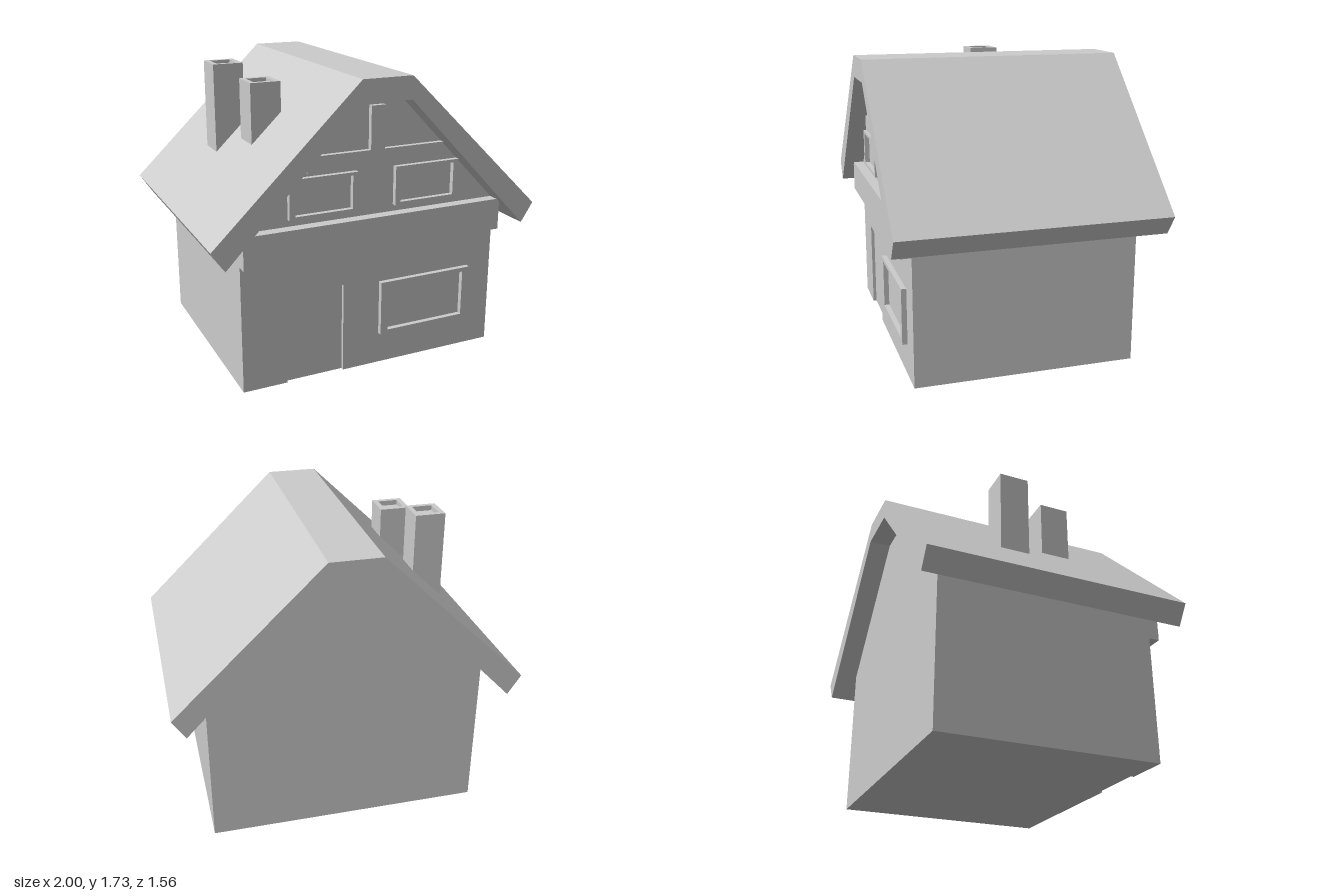
import * as THREE from 'three';

const mat = new THREE.MeshStandardMaterial({ color: 0xcccccc, flatShading: true });
const WALL_Z = 0.65;

const polygon = (pts) => pts.map(([x, y]) => new THREE.Vector2(x, y));
const rect = (x0, y0, x1, y1) => polygon([[x0, y0], [x1, y0], [x1, y1], [x0, y1]]);

// Extrude an outline (with optional holes) from z0 to z1
function slab(name, outline, z0, z1, holes = []) {
  const shape = new THREE.Shape(outline);
  holes.forEach((h) => shape.holes.push(new THREE.Path(h)));
  const geo = new THREE.ExtrudeGeometry(shape, { depth: z1 - z0, bevelEnabled: false });
  geo.translate(0, 0, z0);
  const mesh = new THREE.Mesh(geo, mat);
  mesh.name = name;
  return mesh;
}

// Window frame standing proud of the wall, which serves as the pane
function windowFrame(name, x0, y0, x1, y1, side, bottom) {
  return slab(name, rect(x0, y0, x1, y1), WALL_Z - 0.01, 0.68,
    [rect(x0 + side, y0 + bottom, x1 - side, y1 - bottom)]);
}

// Square chimney with a shallow flue
function chimney(name, x, z, bottom, top) {
  const group = new THREE.Group();
  group.name = name;
  const flue = 0.03, w = 0.09, h = 0.06;
  const height = top - flue - bottom;
  const stack = new THREE.Mesh(new THREE.BoxGeometry(2 * w, height, 2 * w), mat);
  stack.name = 'chimneyStack';
  stack.position.y = bottom + height / 2;
  const rim = slab('chimneyRim', rect(-w, -w, w, w), 0, flue, [rect(-h, -h, h, h)]);
  rim.rotation.x = -Math.PI / 2;
  rim.position.y = top - flue;
  group.add(stack, rim);
  group.position.set(x, 0, z);
  return group;
}

export function createModel() {
  const house = new THREE.Group();
  house.name = 'house';

  // Gabled walls, with a thin front layer leaving the door recessed
  const gable = [[0.805, 0], [0.805, 0.92], [0.15, 1.6], [-0.15, 1.6], [-0.805, 0.92], [-0.805, 0]];
  const doorway = [[-0.54, 0], [-0.54, 0.54], [-0.19, 0.54], [-0.19, 0]];
  house.add(slab('walls', polygon(gable), -WALL_Z, 0.63));
  house.add(slab('frontWall', polygon([...gable, ...doorway]), 0.63, WALL_Z));

  // Roof with a flat ridge and overhanging eaves
  house.add(slab('roof', polygon([
    [1, 0.91], [0.15, 1.73], [-0.15, 1.73], [-1, 0.91],
    [-0.925, 0.795], [-0.15, 1.6], [0.15, 1.6], [0.925, 0.795],
  ]), -0.78, 0.78));

  // Ledge across the front
  house.add(slab('frontLedge', rect(-0.805, 0.75, 0.805, 0.94), WALL_Z - 0.01, 0.715));

  // Gable timber: crossbeam and king post
  house.add(slab('gableTimber', polygon([
    [-0.42, 1.23], [0.42, 1.23], [0.42, 1.32], [0.043, 1.32],
    [0.043, 1.565], [-0.043, 1.565], [-0.043, 1.32], [-0.42, 1.32],
  ]), WALL_Z - 0.01, 0.68));

  // Windows
  house.add(windowFrame('lowerWindow', 0.04, 0.19, 0.64, 0.52, 0.047, 0.025));
  house.add(windowFrame('upperLeftWindow', 0.117, 0.98, 0.527, 1.207, 0.033, 0.018));
  house.add(windowFrame('upperRightWindow', -0.527, 0.98, -0.117, 1.207, 0.033, 0.018));

  // Chimneys
  house.add(chimney('rearChimney', -0.6, -0.14, 1.1, 1.725));
  house.add(chimney('frontChimney', -0.493, 0.18, 1.2, 1.66));

  return house;
}
